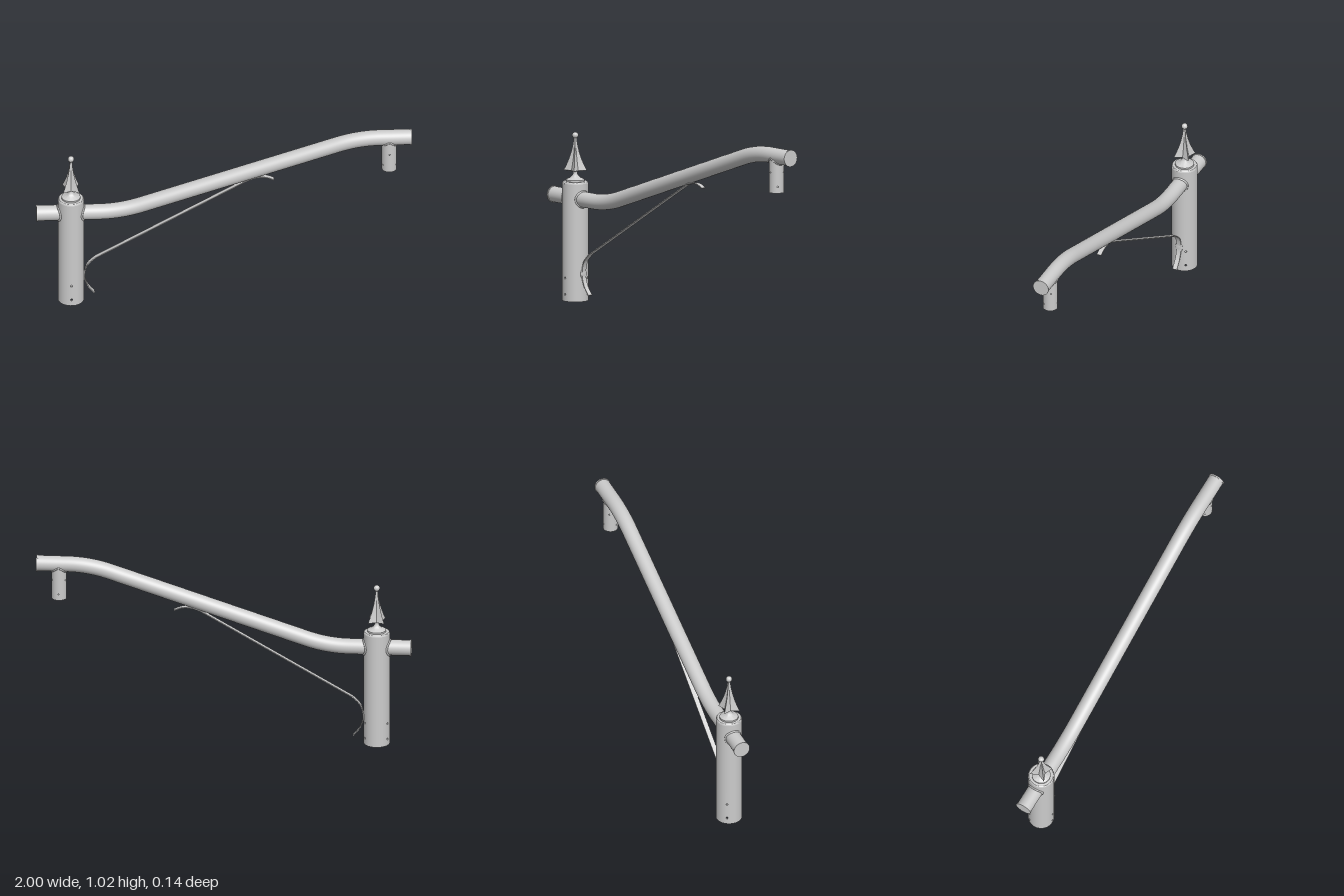
import * as THREE from 'three';
import { toCreasedNormals, mergeGeometries } from 'three/addons/utils/BufferGeometryUtils.js';

const grey = new THREE.MeshStandardMaterial({ color: 0xcccccc });
const greyDouble = new THREE.MeshStandardMaterial({ color: 0xcccccc, side: THREE.DoubleSide });
const V3 = (x, y, z) => new THREE.Vector3(x, y, z);
const V2 = (x, y) => new THREE.Vector2(x, y);

const POST_X = -0.815, POST_R = 0.07, ARM_R = 0.042;
const ARM_LOW = 0.55, ARM_HIGH = 0.976, DROP_X = 0.88, DROP_R = 0.04;

function add(parent, name, geometry, material = grey) {
  const mesh = new THREE.Mesh(geometry, material);
  mesh.name = name;
  parent.add(mesh);
  return mesh;
}

// One round wall made of flat strips bent to a radius; holes are { strip, y }
function drilledWall(r, height, holes, holeR, n) {
  const step = (Math.PI * 2) / n, half = (step * r) / 2;
  const strips = [];
  for (let i = 0; i < n; i++) {
    const shape = new THREE.Shape([V2(-half, 0), V2(half, 0), V2(half, height), V2(-half, height)]);
    for (const h of holes.filter((k) => k.strip === i)) {
      shape.holes.push(new THREE.Path().absarc(0, h.y, holeR, 0, Math.PI * 2, true));
    }
    const g = new THREE.ShapeGeometry(shape, 6);
    const p = g.attributes.position, nor = g.attributes.normal;
    for (let k = 0; k < p.count; k++) {
      const a = i * step + p.getX(k) / r;
      p.setXYZ(k, r * Math.sin(a), p.getY(k), r * Math.cos(a));
      nor.setXYZ(k, Math.sin(a), 0, Math.cos(a));
    }
    strips.push(g);
  }
  return mergeGeometries(strips);
}

// Hollow tube, open below, with drilled set-screw holes
function drilledTube(name, r, wall, height, rows, holeR) {
  const n = 30, group = new THREE.Group();
  group.name = name;
  const holes = rows.flatMap(({ y, first }) => [0, 10, 20].map((s) => ({ strip: first + s, y })));
  add(group, name + 'Outside', drilledWall(r, height, holes, holeR, n));
  add(group, name + 'Inside', drilledWall(r - wall, height, holes, holeR * 0.9, n), greyDouble);
  add(group, name + 'Rim', new THREE.RingGeometry(r - wall, r, n).rotateX(Math.PI / 2));
  for (const h of holes) {
    const bore = new THREE.CylinderGeometry(holeR, holeR, wall, 12, 1, true)
      .rotateX(Math.PI / 2).translate(0, h.y, r - wall / 2).rotateY((h.strip / n) * Math.PI * 2);
    add(group, 'screwHole', bore, greyDouble);
  }
  return group;
}

// Weld bead where a tube of radius r, running along +y, meets a tube of radius R lying along z's partner axis
function weldBead(r, R, bead) {
  const pts = [];
  for (let i = 0; i < 40; i++) {
    const a = (i / 40) * Math.PI * 2, z = r * Math.sin(a);
    pts.push(V3(r * Math.cos(a), Math.sqrt(Math.max(R * R - z * z, 0)), z));
  }
  return new THREE.TubeGeometry(new THREE.CatmullRomCurve3(pts, true), 80, bead, 8, true);
}

// Four-winged spear head lofted from star-shaped sections
function spearHead() {
  const sections = [[0.692, 0.012], [0.7, 0.062], [0.725, 0.049], [0.76, 0.034],
    [0.8, 0.021], [0.84, 0.012], [0.882, 0.007]];
  const pos = [], index = [];
  for (const [y, R] of sections) {
    for (let i = 0; i < 8; i++) {
      const rad = i % 2 ? R : Math.max(R * 0.42, 0.006);
      const a = (i * Math.PI) / 4;
      pos.push(rad * Math.sin(a), y, rad * Math.cos(a));
    }
  }
  for (let s = 0; s < sections.length - 1; s++) {
    for (let i = 0; i < 8; i++) {
      const a = s * 8 + i, b = s * 8 + ((i + 1) % 8);
      index.push(a, b, b + 8, a, b + 8, a + 8);
    }
  }
  const g = new THREE.BufferGeometry();
  g.setAttribute('position', new THREE.Float32BufferAttribute(pos, 3));
  g.setIndex(index);
  return toCreasedNormals(g, 0.5);
}

// Flat bar following a planar path, thickened and given width along z
function strapGeometry() {
  const lower = new THREE.SplineCurve([V2(-0.69, 0.04), V2(-0.728, 0.09), V2(-0.743, 0.15),
    V2(-0.728, 0.217), V2(-0.685, 0.262)]).getPoints(24);
  const upper = new THREE.SplineCurve([V2(0.09, 0.71), V2(0.14, 0.736), V2(0.19, 0.748),
    V2(0.23, 0.745), V2(0.265, 0.73)]).getPoints(20);
  const path = [...lower, ...upper], t = 0.0025;
  const side = (s) => path.map((p, i) => {
    const d = path[Math.min(i + 1, path.length - 1)].clone().sub(path[Math.max(i - 1, 0)]).normalize();
    return V2(p.x - d.y * t * s, p.y + d.x * t * s);
  });
  const shape = new THREE.Shape([...side(-1), ...side(1).reverse()]);
  const g = new THREE.ExtrudeGeometry(shape, { depth: 0.026, bevelEnabled: false });
  return toCreasedNormals(g.translate(0, 0, -0.013), 0.6);
}

export function createModel() {
  const model = new THREE.Group();
  model.name = 'bracketArm';

  // Post sleeve with rounded shoulder and stepped cap
  const post = new THREE.Group();
  post.name = 'post';
  post.position.x = POST_X;
  model.add(post);
  post.add(drilledTube('postTube', POST_R, 0.006, 0.632,
    [{ y: 0.037, first: 0 }, { y: 0.125, first: 0 }], 0.006));
  const cap = [[0.07, 0.632], [0.068, 0.638], [0.064, 0.641], [0.05, 0.641], [0.05, 0.65], [0.044, 0.654],
    [0.03, 0.66], [0.018, 0.67], [0.012, 0.682], [0.012, 0.693], [0, 0.693]].map(([x, y]) => V2(x, y));
  add(post, 'postCap', toCreasedNormals(new THREE.LatheGeometry(cap, 36), 0.6), greyDouble);

  // Finial
  add(post, 'finialSpear', spearHead());
  add(post, 'finialBall', new THREE.SphereGeometry(0.017, 20, 14).translate(0, 0.888, 0));

  // Swept main arm: straight, bend, slope, bend, straight
  const path = new THREE.CurvePath();
  const slope = V3(1.27, ARM_HIGH - ARM_LOW, 0).normalize();
  const kneeLow = V3(-0.552, ARM_LOW, 0), kneeHigh = V3(0.718, ARM_HIGH, 0), reach = 0.12;
  const a1 = V3(kneeLow.x - reach, ARM_LOW, 0), a2 = kneeLow.clone().addScaledVector(slope, reach);
  const b1 = kneeHigh.clone().addScaledVector(slope, -reach), b2 = V3(kneeHigh.x + reach, ARM_HIGH, 0);
  path.add(new THREE.LineCurve3(V3(-0.996, ARM_LOW, 0), a1));
  path.add(new THREE.QuadraticBezierCurve3(a1, kneeLow, a2));
  path.add(new THREE.LineCurve3(a2, b1));
  path.add(new THREE.QuadraticBezierCurve3(b1, kneeHigh, b2));
  path.add(new THREE.LineCurve3(b2, V3(0.996, ARM_HIGH, 0)));
  add(model, 'arm', new THREE.TubeGeometry(path, 140, ARM_R, 36, false));

  // End plates
  for (const [x, y] of [[-0.996, ARM_LOW], [0.996, ARM_HIGH]]) {
    add(model, 'endPlate', new THREE.CylinderGeometry(0.045, 0.045, 0.008, 36).rotateZ(Math.PI / 2))
      .position.set(x, y, 0);
  }

  // Weld beads on both sides of the post
  for (const s of [-1, 1]) {
    const bead = add(model, 'postWeld', weldBead(ARM_R, POST_R, 0.006));
    bead.rotation.z = -s * Math.PI / 2;
    bead.position.set(POST_X, ARM_LOW, 0);
  }

  // Hanging socket under the arm's outer end
  const drop = drilledTube('dropTube', DROP_R, 0.005, 0.19,
    [{ y: 0.035, first: 5 }, { y: 0.11, first: 0 }], 0.0038);
  drop.position.set(DROP_X, 0.78, 0);
  model.add(drop);
  const dropBead = add(model, 'dropWeld', weldBead(DROP_R, ARM_R, 0.005));
  dropBead.rotation.z = Math.PI;
  dropBead.position.set(DROP_X, ARM_HIGH, 0);

  // Curled flat brace and its two weld pads
  add(model, 'brace', strapGeometry());
  const pad = new THREE.SphereGeometry(1, 16, 10);
  const lowPad = add(model, 'bracePad', pad);
  lowPad.scale.set(0.006, 0.03, 0.021);
  lowPad.position.set(-0.745, 0.15, 0);
  const highPad = add(model, 'bracePad', pad);
  highPad.scale.set(0.03, 0.006, 0.018);
  highPad.position.set(0.15, 0.741, 0);
  highPad.rotation.z = 0.32;

  return model;
}
